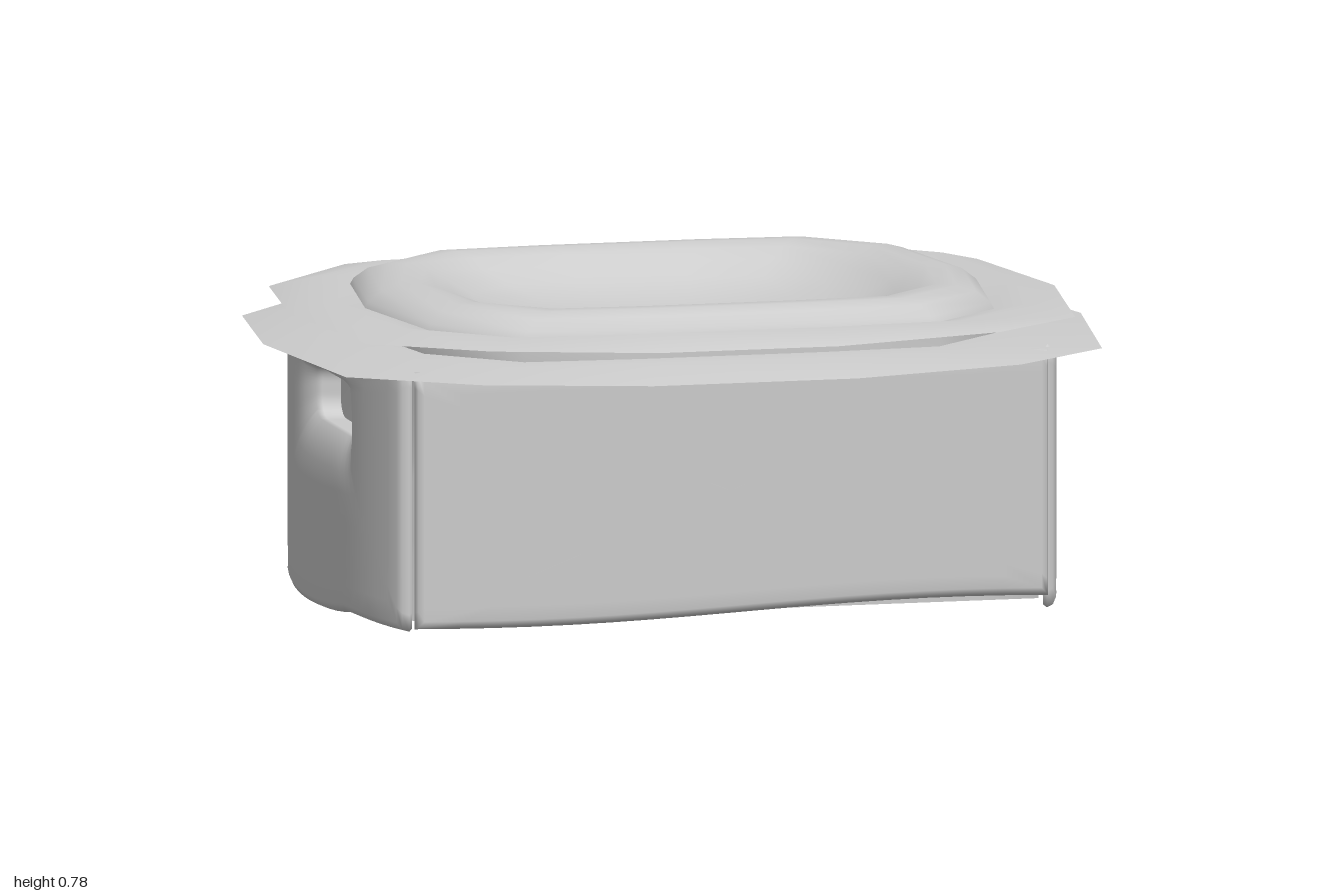
import * as THREE from 'three';

const material = new THREE.MeshStandardMaterial({ color: 0xcccccc, side: THREE.DoubleSide });
const { lerp, clamp } = THREE.MathUtils;

// Surface through a list of closed loops, each with the same number of points
function loft(name, rings) {
  const n = rings[0].length, index = [];
  for (let r = 0; r < rings.length - 1; r++) {
    for (let i = 0; i < n; i++) {
      const a = r * n + i, b = r * n + (i + 1) % n;
      index.push(a, b, a + n, b, b + n, a + n);
    }
  }
  const g = new THREE.BufferGeometry();
  g.setAttribute('position', new THREE.Float32BufferAttribute(rings.flat(2), 3));
  g.setIndex(index);
  g.computeVertexNormals();
  const mesh = new THREE.Mesh(g, material);
  mesh.name = name;
  return mesh;
}

// Quarter outlines of the fourteen-sided lid: [x, z, height offset]
const OUTER = [[1, 0, 0], [0.925, 0.5, -0.008], [0.66, 0.765, 0.002], [0.25, 0.805, -0.01]];
const MIDDLE = [[0.935, 0, 0], [0.867, 0.47, -0.004], [0.62, 0.71, 0.004], [0.22, 0.742, -0.01]];
const INNER = [[0.755, 0, 0], [0.695, 0.38, 0], [0.5, 0.567, 0], [0.22, 0.585, 0]];

// Mirrored and scaled outline around height y
function outline(quarter, y, s = 1) {
  const q = quarter.map(([x, z, h]) => [x * s, y + h, z * s]);
  const flip = (list, sx, sz) => list.map(([x, h, z]) => [x * sx, h, z * sz]);
  const rest = q.slice(1), back = [...rest].reverse();
  return [...q, ...flip(back, -1, 1), ...flip([q[0]], -1, 1),
    ...flip(rest, -1, -1), ...flip(back, 1, -1)].reverse();
}

// Points spread around a rectangle, corners included
function rectangle(perSide) {
  const corners = [[-1, -1], [1, -1], [1, 1], [-1, 1]], pts = [];
  corners.forEach((c, i) => {
    const d = corners[(i + 1) % 4];
    for (let k = 0; k < perSide; k++) {
      const t = k / perSide;
      pts.push([lerp(c[0], d[0], t), lerp(c[1], d[1], t)]);
    }
  });
  return pts;
}

// Point of a hand hole with rounded corners, for a point of the unit square
function holePoint(a, b, cy) {
  const x = a * 0.195, y = b * 0.066, r = 0.05;
  const cx = clamp(x, -0.145, 0.145), cv = clamp(y, -0.016, 0.016);
  const d = Math.hypot(x - cx, y - cv);
  return [cx + (x - cx) / d * r, cy + cv + (y - cv) / d * r];
}

// Bowed wall facing +z, radiating from a centre point or from a hand hole
function panel(name, { half, depth, bow, power, bottom, hole }) {
  const top = 0.655, cy = hole ? 0.505 : 0.34;
  const edge = rectangle(16);
  const start = edge.map(([a, b]) => hole ? holePoint(a, b, cy) : [0, cy]);
  const ring = (t, inset, back) => edge.map(([a, b], i) => {
    const u1 = a * (half - inset);
    const v1 = lerp(bottom(u1) + inset, top - inset, (b + 1) / 2);
    const u = lerp(start[i][0], u1, t), v = lerp(start[i][1], v1, t);
    const dent = hole ? 0.035 * Math.max(0, 1 - t * 3.5) ** 2 : 0;
    return [u, v, depth + bow * (1 - Math.abs(u / half) ** power) - dent - back];
  });
  const rings = [];
  if (hole) rings.push(ring(0, 0.02, 0.06), ring(0, 0.02, 0.015));
  for (const t of [0, 0.1, 0.2, 0.32, 0.5, 0.7, 0.88, 1]) rings.push(ring(t, 0.02, 0));
  // rolled hem
  rings.push(ring(1, 0.006, 0.006), ring(1, 0, 0.02), ring(1, 0.006, 0.03));
  return loft(name, rings);
}

export function createModel() {
  const model = new THREE.Group();

  // Lower and upper flanges: inner edge, raised ridge, drooping rim
  for (const [name, rim, scale, inY, ridgeY, rimY] of [
    ['lowerFlange', OUTER, 0.95, 0.67, 0.668, 0.646],
    ['upperFlange', MIDDLE, 0.985, 0.722, 0.738, 0.715]]) {
    const inside = outline(INNER, inY, scale), outside = outline(rim, rimY);
    const ridge = inside.map(([x, , z], i) =>
      [lerp(x, outside[i][0], 0.45), ridgeY, lerp(z, outside[i][2], 0.45)]);
    model.add(loft(name, [outside, ridge, inside]));
  }

  // Collar joining the two flanges
  model.add(loft('collar', [outline(INNER, 0.665, 1.015), outline(INNER, 0.724, 1.015)]));

  // Raised lip rolling over into a shallow dish
  model.add(loft('dish', [[1, 0.715], [0.985, 0.738], [0.94, 0.764], [0.88, 0.777], [0.82, 0.778],
    [0.76, 0.766], [0.7, 0.742], [0.62, 0.71], [0.5, 0.683], [0.3, 0.665], [0, 0.66]]
    .map(([s, y]) => outline(INNER, y, s))));

  // Front and back walls, slightly hollow with a wavy lower edge
  for (const [name, turn, sign] of [['frontWall', 0, 1], ['backWall', Math.PI, -1]]) {
    const wall = panel(name, {
      half: 0.775, depth: 0.59, bow: -0.025, power: 2,
      bottom: u => 0.048 + 0.017 * Math.sin(sign * u * 3 - 0.2),
    });
    wall.rotation.y = turn;
    model.add(wall);
  }

  // Side walls, bulging outward with a hand hole
  for (const [name, sign] of [['leftWall', 1], ['rightWall', -1]]) {
    const wall = panel(name, {
      half: 0.54, depth: 0.8, bow: 0.058, power: 3.2, hole: true,
      bottom: u => 0.028 - 0.028 * Math.max(0, 1 - ((u - sign * 0.17) / 0.38) ** 2),
    });
    wall.rotation.y = sign * Math.PI / 2;
    model.add(wall);
  }

  // Inner lining, flaring towards the walls at its lower edge
  const lining = (y, flare, s = 1) => rectangle(10).map(([x, z]) =>
    [x * s * (0.76 + flare * (1 - Math.abs(z) ** 3)), y, z * s * 0.535]);
  model.add(loft('lining', [lining(0.05, 0.055), lining(0.24, 0.03), lining(0.435, 0), lining(0.64, 0)]));

  // Flat ceiling of the hollow base
  model.add(loft('ceiling', [lining(0.435, 0), lining(0.435, 0, 0)]));

  return model;
}
